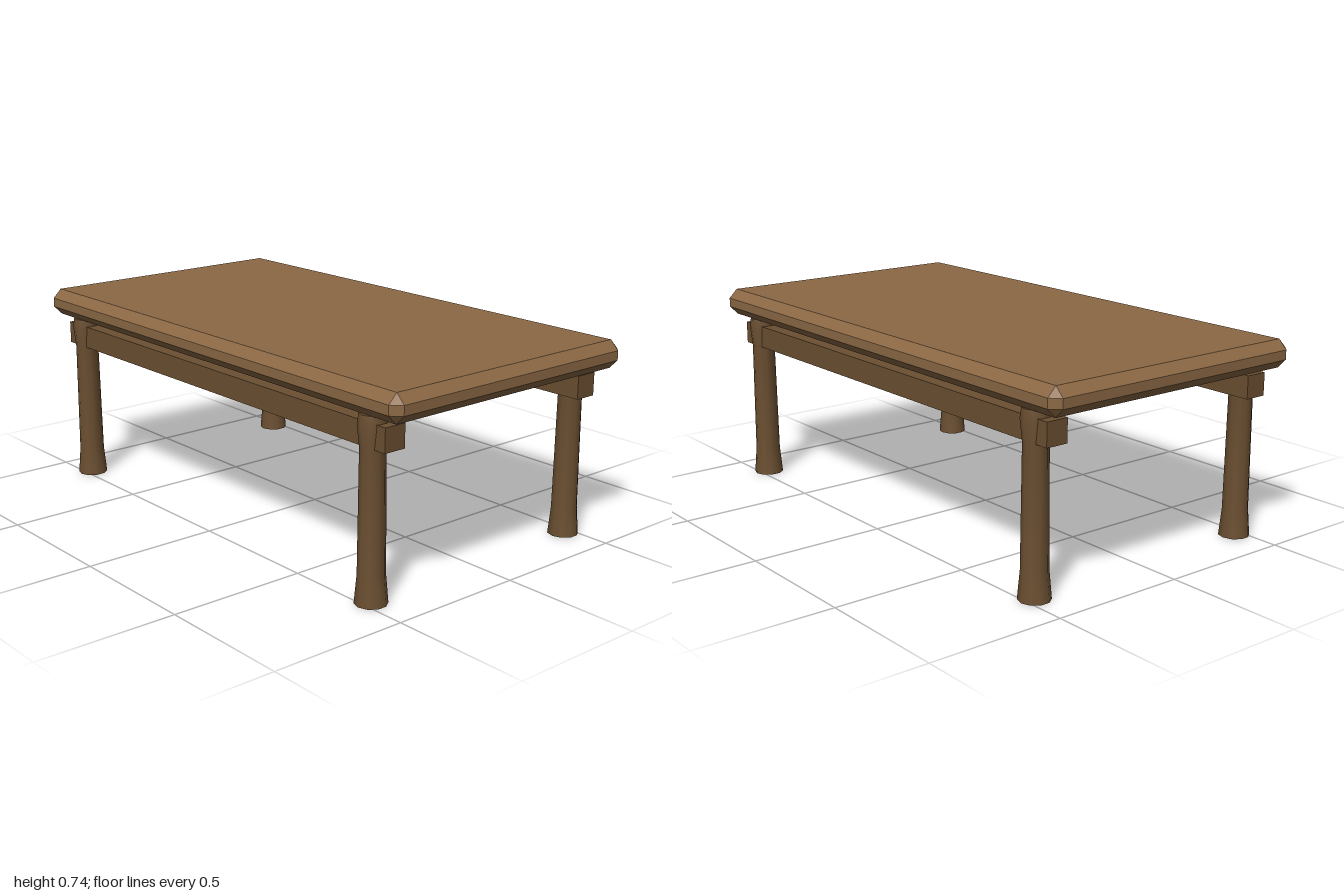
import * as THREE from 'three';
import { ConvexGeometry } from 'three/addons/geometries/ConvexGeometry.js';
import { toCreasedNormals } from 'three/addons/utils/BufferGeometryUtils.js';

const topWood = new THREE.MeshStandardMaterial({ color: 0x8b6844 });
const legWood = new THREE.MeshStandardMaterial({ color: 0x6b4f31 });

// Box with every edge and corner cut by one flat chamfer
function chamferedBox(hx, hy, hz, c) {
  const points = [];
  for (const x of [-1, 1]) for (const y of [-1, 1]) for (const z of [-1, 1]) {
    points.push(
      new THREE.Vector3(x * hx, y * (hy - c), z * (hz - c)),
      new THREE.Vector3(x * (hx - c), y * hy, z * (hz - c)),
      new THREE.Vector3(x * (hx - c), y * (hy - c), z * hz));
  }
  return new ConvexGeometry(points);
}

export function createModel() {
  const table = new THREE.Group();
  table.name = 'table';

  function add(name, geometry, material, x, y, z) {
    const mesh = new THREE.Mesh(geometry, material);
    mesh.name = name;
    mesh.position.set(x, y, z);
    table.add(mesh);
  }

  // Thick tabletop
  add('tabletop', chamferedBox(1, 0.05, 0.534, 0.033), topWood, 0, 0.685, 0);

  // Turned leg: flared foot, slim shaft, swollen collar
  const profile = [
    [0, 0], [0.056, 0], [0.047, 0.1], [0.043, 0.525], [0.051, 0.6], [0.046, 0.636], [0, 0.636],
  ].map(([r, y]) => new THREE.Vector2(r, y));
  const legGeometry = toCreasedNormals(new THREE.LatheGeometry(profile, 10), 0.7);

  // Long rail running through each pair of legs
  const railGeometry = new THREE.BoxGeometry(1.83, 0.083, 0.084);

  for (const [end, legZ, railZ] of [['front', 0.47, 0.452], ['back', -0.465, -0.45]]) {
    add(end + 'Rail', railGeometry, legWood, -0.003, 0.568, railZ);
    add(end + 'LeftLeg', legGeometry, legWood, 0.832, 0, legZ);
    add(end + 'RightLeg', legGeometry, legWood, -0.836, 0, legZ);
  }

  return table;
}
